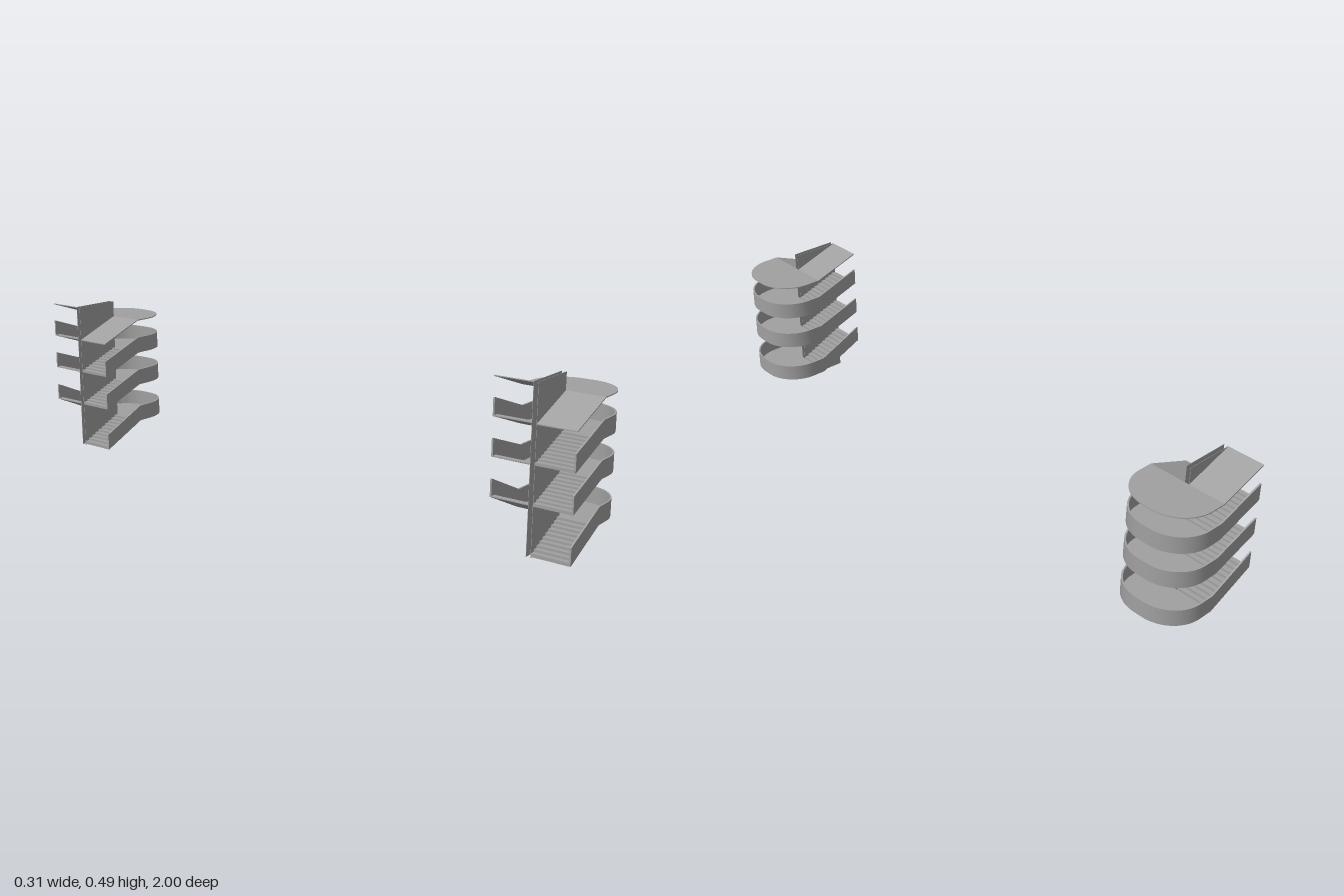
import * as THREE from 'three';
import { toCreasedNormals } from 'three/addons/utils/BufferGeometryUtils.js';

const X0 = -0.155, X1 = 0.157, HALF = 0.125, GAP = 0.007;
const RAIL_H = 0.053, RAIL_T = 0.005, SLAB = 0.003, STEPS = 10, R = 0.11;

// each level: height at the lower end, at the landing, and at the upper end
const LEVELS = [[0.003, 0.075, 0.145], [0.145, 0.205, 0.259], [0.259, 0.318, 0.372]];
const ROOF = [0.37, 0.43, 0.482];

// plan outline from the front flight round the landing to the back flight, inset by d
function outline(d) {
  const pts = [[X0, HALF - d], [0, HALF - d]];
  const n = 14, r = R - d, cz = HALF - R;
  for (const s of [1, -1]) {
    for (let i = 0; i <= n; i++) {
      const a = (s > 0 ? 1 - i / n : -i / n) * Math.PI / 2;
      pts.push([X1 - R + r * Math.cos(a), s * cz + r * Math.sin(a)]);
    }
  }
  pts.push([0, d - HALF], [X0, d - HALF]);
  return pts;
}

// curved parapet: a rectangular section swept along the outline
function parapetGeometry([low, mid, high]) {
  const outer = outline(0), inner = outline(RAIL_T), pos = [], idx = [];
  const last = outer.length - 1;
  outer.forEach(([x, z], i) => {
    const y = i === 0 ? low : i === last ? high : mid;
    const [u, w] = inner[i];
    pos.push(x, y, z, x, y + RAIL_H, z, u, y + RAIL_H, w, u, y, w);
  });
  for (let i = 0; i < last; i++) {
    for (let k = 0; k < 4; k++) {
      const a = i * 4 + k, b = i * 4 + (k + 1) % 4;
      idx.push(a, a + 4, b, b, a + 4, b + 4);
    }
  }
  const e = last * 4;
  idx.push(0, 1, 2, 0, 2, 3, e, e + 2, e + 1, e, e + 3, e + 2);
  const g = new THREE.BufferGeometry();
  g.setAttribute('position', new THREE.Float32BufferAttribute(pos, 3));
  g.setIndex(idx);
  return toCreasedNormals(g, 0.5);
}

// straight flight with a sloped underside, stepped or smooth on top
function flightGeometry(yEnd, yLanding, stepped, width) {
  const s = new THREE.Shape();
  const y = (t) => yLanding + (yEnd - yLanding) * t;
  s.moveTo(X0, yEnd);
  s.lineTo(0, yLanding);
  if (stepped) {
    for (let i = 0; i < STEPS; i++) {
      const a = i / STEPS, b = (i + 1) / STEPS;
      const top = Math.max(y(a), y(b)) + SLAB;
      s.lineTo(X0 * a, top);
      s.lineTo(X0 * b, top);
    }
  } else {
    s.lineTo(0, yLanding + SLAB);
    s.lineTo(X0, yEnd + SLAB);
  }
  return new THREE.ExtrudeGeometry(s, { depth: width, bevelEnabled: false });
}

// flat rounded landing
function landingGeometry(d) {
  const pts = outline(d).slice(1, -1).map(([x, z]) => new THREE.Vector2(x, -z));
  const g = new THREE.ExtrudeGeometry(new THREE.Shape(pts), { depth: SLAB, bevelEnabled: false });
  g.rotateX(-Math.PI / 2);
  return toCreasedNormals(g, 0.5);
}

export function createModel() {
  const concrete = new THREE.MeshStandardMaterial({ color: 0xa0a0a0, side: THREE.DoubleSide });
  concrete.name = 'concrete grey';

  function add(parent, name, geometry, x = 0, y = 0, z = 0) {
    const m = new THREE.Mesh(geometry, concrete);
    m.name = name;
    m.position.set(x, y, z);
    parent.add(m);
  }

  // front flight, landing and back flight of one turn
  function addTurn(parent, prefix, [low, mid, high], stepped, inset) {
    const width = HALF - GAP - inset;
    add(parent, prefix + 'FrontFlight', flightGeometry(low, mid, stepped, width), 0, 0, GAP);
    add(parent, prefix + 'Landing', landingGeometry(inset), 0, mid, 0);
    add(parent, prefix + 'BackFlight', flightGeometry(high, mid, stepped, width), 0, 0, inset - HALF);
  }

  function tower(name) {
    const t = new THREE.Group();
    t.name = name;
    LEVELS.forEach((level) => {
      addTurn(t, 'stair', level, true, 0.002);
      add(t, 'parapet', parapetGeometry(level));
    });
    addTurn(t, 'roof', ROOF, false, 0);
    // central wall: two thin sheets with an open slot between them
    for (const s of [1, -1]) {
      add(t, 'wallPanel', new THREE.BoxGeometry(-X0, 0.485, 0.001), X0 / 2, 0.2425, s * GAP);
    }
    return t;
  }

  const model = new THREE.Group();
  model.name = 'stairTowers';
  for (const [name, z] of [['frontTower', 0.875], ['backTower', -0.875]]) {
    const t = tower(name);
    t.position.z = z;
    model.add(t);
  }
  return model;
}
